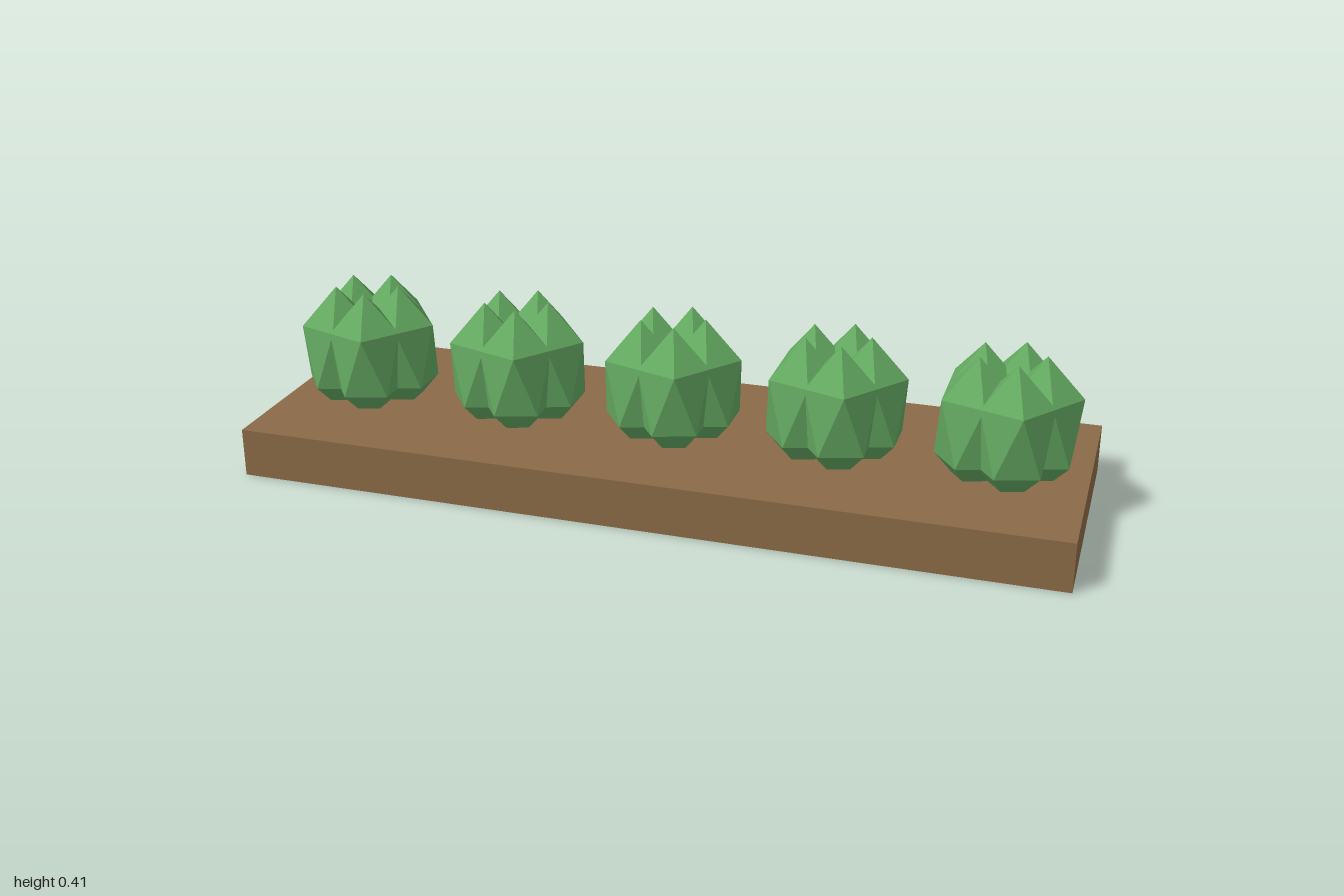
import * as THREE from 'three';

const soil = new THREE.MeshStandardMaterial({ color: 0x8b6a47 });
soil.name = 'soil brown';
const green = new THREE.MeshStandardMaterial({ color: 0x64a961 });
green.name = 'leaf green';

// Faceted leaf: an icosahedron standing on a point, stretched upwards
function leafGeometry() {
  const geometry = new THREE.IcosahedronGeometry(0.1, 0);
  geometry.rotateZ(-Math.atan(2 / (1 + Math.sqrt(5))));
  geometry.scale(1, 1.7, 1);
  geometry.computeVertexNormals();
  return geometry;
}

// Five overlapping leaves in a ring
function createPlant(geometry) {
  const plant = new THREE.Group();
  plant.name = 'plant';
  for (let i = 0; i < 5; i++) {
    const angle = (i / 5) * Math.PI * 2;
    const leaf = new THREE.Mesh(geometry, green);
    leaf.name = 'leaf';
    leaf.position.set(Math.cos(angle) * 0.081, 0, Math.sin(angle) * 0.081);
    plant.add(leaf);
  }
  return plant;
}

export function createModel() {
  const model = new THREE.Group();
  model.name = 'plantedRow';

  // Garden bed
  const bed = new THREE.Mesh(new THREE.BoxGeometry(2, 0.12, 0.65), soil);
  bed.name = 'bed';
  bed.position.y = 0.06;
  model.add(bed);

  // Row of plants, partly sunk into the bed
  const geometry = leafGeometry();
  for (let i = 0; i < 5; i++) {
    const plant = createPlant(geometry);
    plant.position.set((i - 2) * 0.4, 0.241, 0);
    model.add(plant);
  }
  return model;
}
